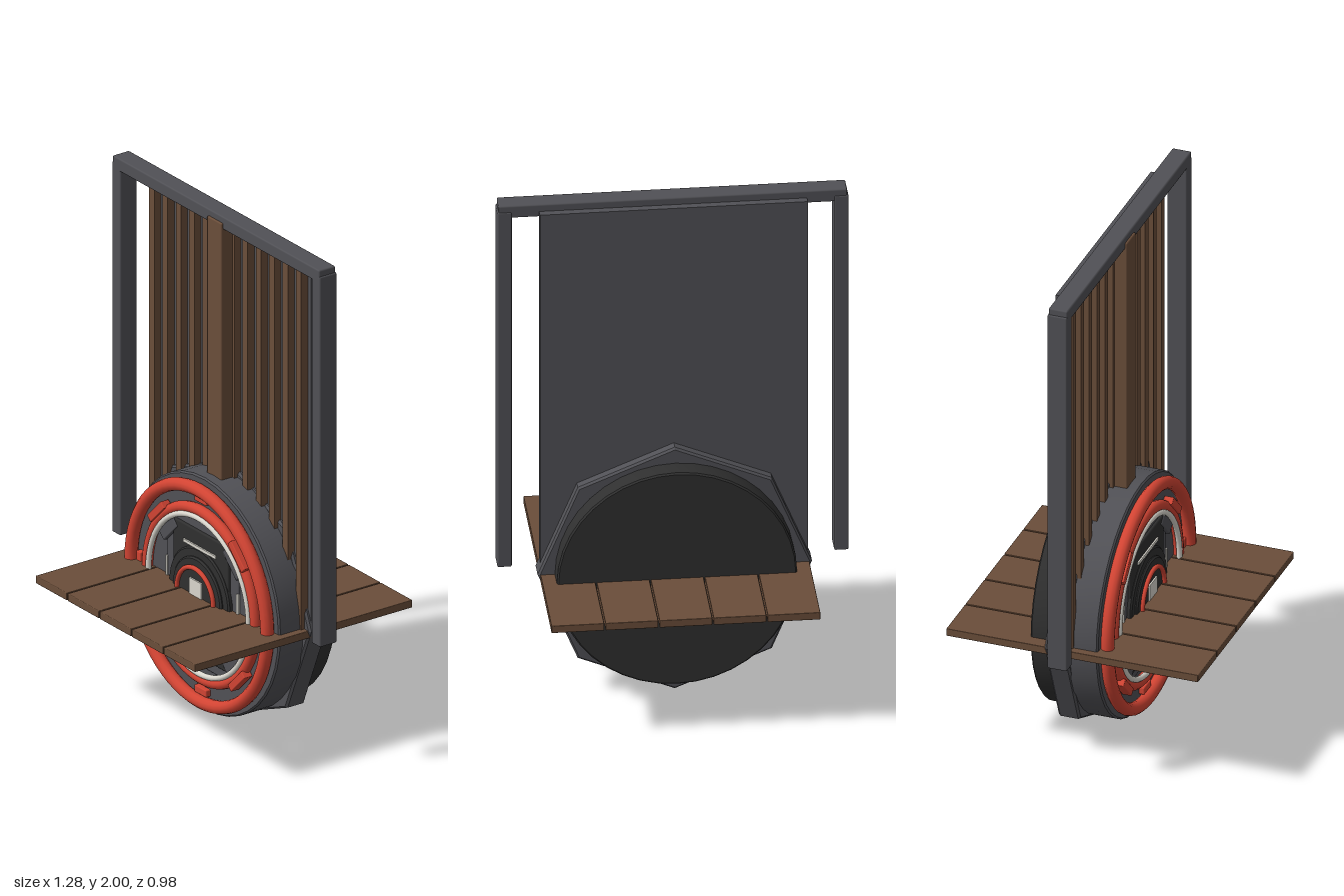
import * as THREE from 'three';
import { toCreasedNormals } from 'three/addons/utils/BufferGeometryUtils.js';
import { RoundedBoxGeometry } from 'three/addons/geometries/RoundedBoxGeometry.js';

const paint = (name, color) => {
  const m = new THREE.MeshStandardMaterial({ color });
  m.name = name;
  return m;
};

export function createModel() {
  const model = new THREE.Group();
  model.name = 'gate';
  const steel = paint('steel grey', 0x515156);
  const wood = paint('brown wood', 0x6b4e3a);
  const red = paint('red', 0xd24433);
  const dark = paint('charcoal', 0x303030);
  const pale = paint('pale grey', 0xd9d6cd);
  const CY = 0.5; // height of the wheel's centre

  const add = (name, geo, mat, parent = model) => {
    const mesh = new THREE.Mesh(geo, mat);
    mesh.name = name;
    parent.add(mesh);
    return mesh;
  };
  // box given by its extents
  const box = (name, mat, [x0, x1], [y0, y1], [z0, z1], bevel = 0, parent = model) => {
    const s = [x1 - x0, y1 - y0, z1 - z0];
    const geo = bevel ? new RoundedBoxGeometry(...s, 1, bevel) : new THREE.BoxGeometry(...s);
    const mesh = add(name, geo, mat, parent);
    mesh.position.set((x0 + x1) / 2, (y0 + y1) / 2, (z0 + z1) / 2);
    return mesh;
  };
  // bevelled disc facing z, centred on the wheel axis
  const disc = (name, mat, r, z0, z1, sides, bevel = 0.006) => {
    const profile = [[0, z0], [r - bevel, z0], [r, z0 + bevel], [r, z1 - bevel], [r - bevel, z1], [0, z1]]
      .map(([a, b]) => new THREE.Vector2(a, b));
    const geo = toCreasedNormals(new THREE.LatheGeometry(profile, sides).rotateX(Math.PI / 2), 0.5);
    return add(name, geo, mat).position.set(0, CY, 0);
  };
  const ring = (name, mat, r, tube, z, sides = 64) =>
    add(name, new THREE.TorusGeometry(r, tube, 12, sides), mat).position.set(0, CY, z);

  // overhead frame
  box('topBar', steel, [-0.635, 0.635], [1.95, 2], [-0.037, 0.037], 0.006);
  for (const s of [-1, 1]) {
    const post = box('post', steel, [0.587, 0.64], [0.505, 1.975], [-0.04, 0.037], 0.006);
    post.position.x *= s;
  }

  // tall panel with raised slats and a centre board
  box('backPanel', steel, [-0.488, 0.488], [0.5, 1.972], [-0.065, -0.035]);
  for (let i = 0; i < 12; i++) {
    const x = (i - 5.5) * 0.082;
    box('slat', wood, [x - 0.016, x + 0.016], [0.5, 1.955], [-0.035, -0.005]);
  }
  box('centreBoard', wood, [-0.045, 0.045], [0.5, 1.975], [-0.035, 0.045], 0.005);

  // stacked wheel body
  disc('octagonPlate', steel, 0.5, -0.105, -0.02, 8, 0.008);
  disc('wheelBody', steel, 0.46, -0.03, 0.088, 40);
  disc('rearDrum', dark, 0.438, -0.182, -0.1, 40, 0.006);

  // rings on the wheel face
  ring('outerRing', red, 0.418, 0.025, 0.111);
  ring('innerRing', red, 0.332, 0.021, 0.1);
  ring('paleRing', pale, 0.308, 0.011, 0.114);

  // red lugs around the face
  for (let i = 0; i < 8; i++) {
    const spoke = new THREE.Group();
    spoke.name = 'lug' + i;
    spoke.position.y = CY;
    spoke.rotation.z = i * Math.PI / 4;
    model.add(spoke);
    if (i % 2 === 0) {
      box('outerLug', red, [-0.037, 0.037], [0.366, 0.394], [0.08, 0.108], 0.004, spoke);
    } else {
      box('diagonalLug', red, [-0.06, 0.06], [0.335, 0.365], [0.09, 0.128], 0.004, spoke);
      box('cornerBracket', steel, [-0.06, 0.06], [0.255, 0.3], [0.085, 0.11], 0.005, spoke);
    }
  }

  // inner housing
  box('housing', steel, [-0.22, 0.22], [0.21, 0.79], [0.08, 0.096], 0.006);
  box('housingInset', dark, [-0.17, 0.17], [0.25, 0.75], [0.08, 0.106], 0.006);
  box('upperLight', pale, [-0.1, 0.1], [0.68, 0.692], [0.104, 0.112]);
  for (const s of [-1, 1]) {
    const strip = box('sideLight', pale, [0.212, 0.222], [0.42, 0.58], [0.092, 0.1]);
    strip.position.x *= s;
  }

  // central hub
  disc('hubBase', dark, 0.185, 0.08, 0.114, 40);
  disc('hub', dark, 0.15, 0.1, 0.124, 40);
  ring('hubRing', red, 0.112, 0.009, 0.13, 48);
  box('hubLight', pale, [-0.038, 0.038], [0.4, 0.565], [0.12, 0.13]);
  box('lowerLight', pale, [-0.028, 0.028], [0.32, 0.4], [0.117, 0.127]);

  // plank platform running through the wheel
  for (let i = -2; i <= 2; i++) {
    box('plank', wood, [i * 0.197 - 0.096, i * 0.197 + 0.096], [0.472, 0.502], [-0.488, 0.488], 0.003);
  }
  return model;
}
